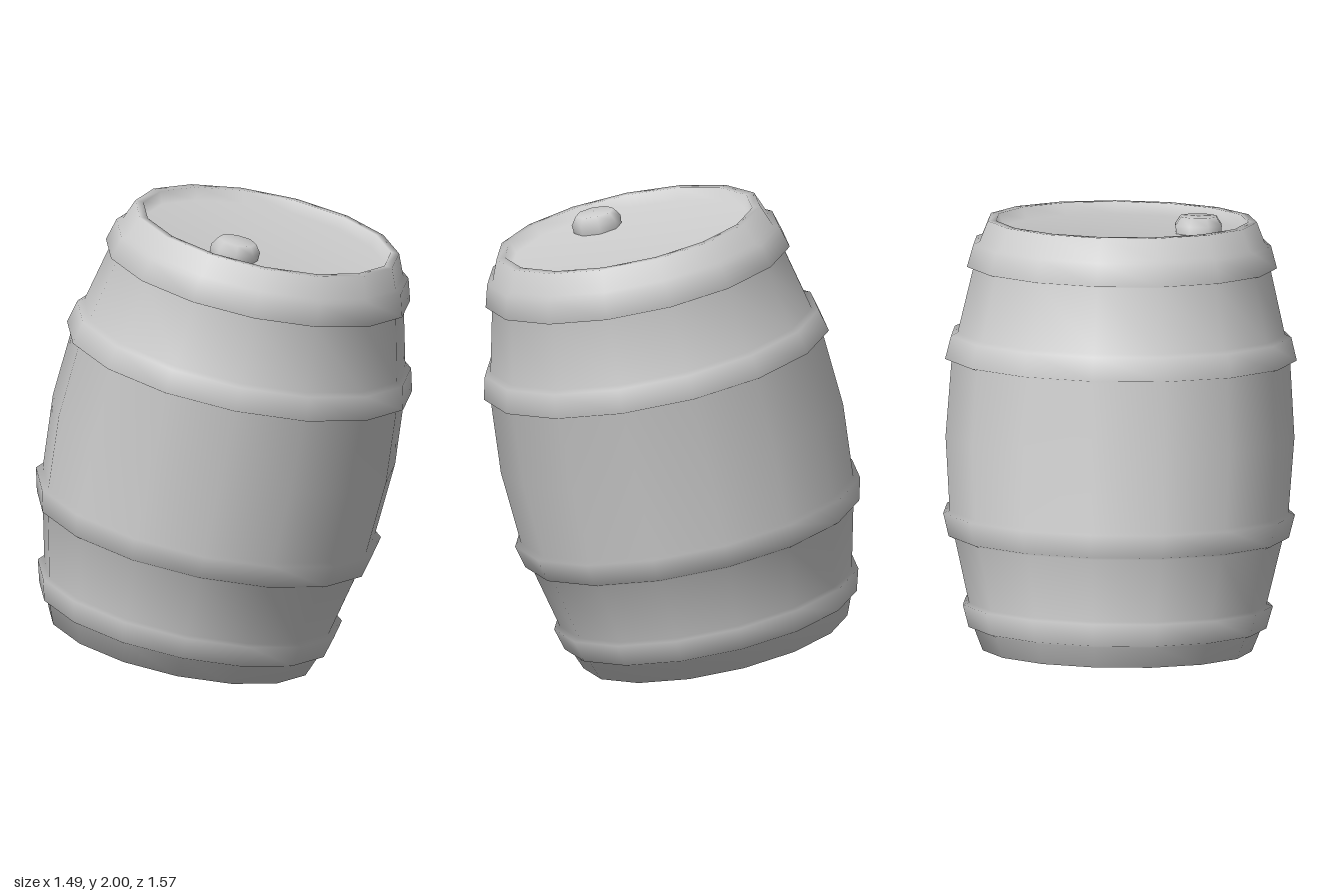
import * as THREE from 'three';

const rad = THREE.MathUtils.degToRad;

// Smooth turned part from [radius, height] pairs listed bottom to top
function turned(name, profile, sides, material) {
  const points = profile.map(([r, y]) => new THREE.Vector2(r, y));
  const mesh = new THREE.Mesh(new THREE.LatheGeometry(points, sides, rad(-5.5)), material);
  mesh.name = name;
  return mesh;
}

export function createModel() {
  const grey = new THREE.MeshStandardMaterial({ color: 0xcccccc });
  grey.name = 'plain grey';

  // Upper half of the barrel: bulging wall, two hoops, rim and sunken lid
  const upper = [
    [0.708, 0.313], [0.735, 0.323], // middle hoop
    [0.711, 0.42], [0.684, 0.432],
    [0.622, 0.7], [0.648, 0.708], // end hoop
    [0.622, 0.802], [0.597, 0.812],
    [0.562, 0.9], [0.527, 0.9], // rim
    [0.508, 0.85], [0, 0.85], // lid
  ];
  const lower = upper.map(([r, y]) => [r, -y]).reverse();
  const barrel = turned('barrel', [...lower, [0.729, 0], ...upper], 15, grey);

  // Stopper standing on the lid
  const bung = turned('bung', [[0.1, -0.01], [0.104, 0.035], [0.08, 0.07], [0, 0.07]], 8, grey);
  bung.position.set(-0.31, 0.85, 0.076);

  // Whole barrel leans forward and slightly to its left
  const leaning = new THREE.Group();
  leaning.name = 'leaningBarrel';
  leaning.add(barrel, bung);
  leaning.rotation.set(rad(12.4), 0, rad(-2.8));
  leaning.position.set(0, 1, 0);

  const model = new THREE.Group();
  model.name = 'tiltedBarrel';
  model.add(leaning);
  return model;
}
